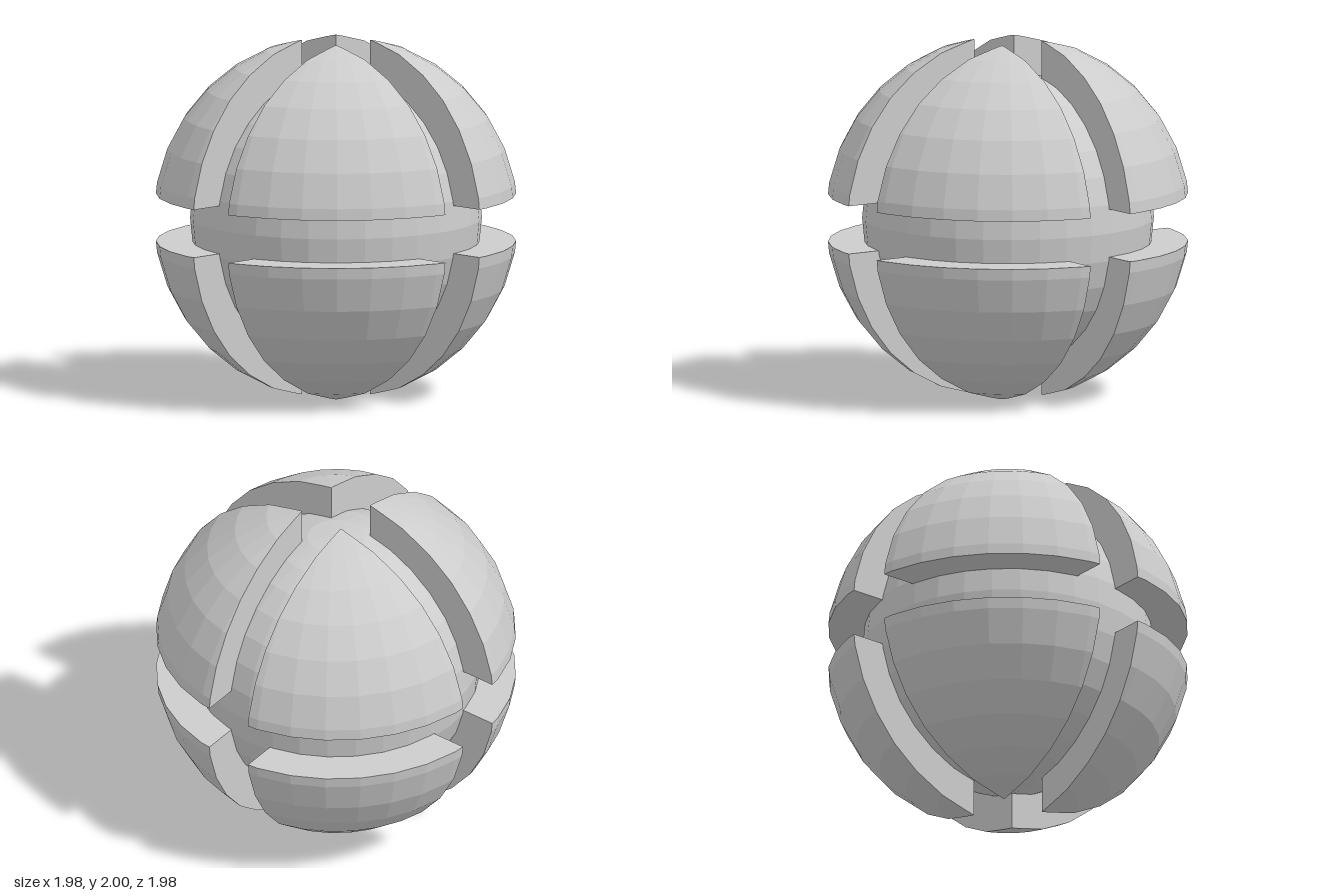
import * as THREE from 'three';

const R = 1.019;       // outer sphere radius
const CORE_R = 0.815;  // inner sphere radius
const GAP = 0.135;     // half width of each groove
const STEPS = 8;       // facets per quarter turn

const spherePoint = (i, j) => {
  const t = (i / STEPS) * Math.PI / 2, p = (j / STEPS) * Math.PI / 2;
  return [R * Math.sin(t) * Math.cos(p), R * Math.cos(t), R * Math.sin(t) * Math.sin(p)];
};

// Keep the part of a polygon whose coordinate on one axis is beyond the groove
function clip(poly, axis) {
  const out = [];
  poly.forEach((a, n) => {
    const b = poly[(n + 1) % poly.length];
    const da = a[axis] - GAP, db = b[axis] - GAP;
    if (da >= 0) out.push(a);
    if (da * db < 0) {
      const hit = a.map((v, k) => v + (b[k] - v) * da / (da - db));
      hit[axis] = GAP;
      out.push(hit);
    }
  });
  return out;
}

// One solid eighth of the faceted sphere: outer facets plus three flat groove walls
function octantGeometry(signs) {
  const positions = [];
  const corner = [GAP, GAP, GAP];
  const mirrored = signs[0] * signs[1] * signs[2] < 0;
  const addTriangle = (a, b, c) => {
    for (const v of mirrored ? [a, c, b] : [a, b, c]) positions.push(...v.map((x, k) => x * signs[k]));
  };
  for (let i = 0; i < STEPS; i++) {
    for (let j = 0; j < STEPS; j++) {
      let poly = [spherePoint(i, j), spherePoint(i, j + 1), spherePoint(i + 1, j + 1), spherePoint(i + 1, j)];
      for (let axis = 0; axis < 3; axis++) poly = clip(poly, axis);
      // outer facet
      for (let n = 1; n < poly.length - 1; n++) addTriangle(poly[0], poly[n], poly[n + 1]);
      // groove wall below each cut edge
      poly.forEach((a, n) => {
        const b = poly[(n + 1) % poly.length];
        for (let axis = 0; axis < 3; axis++) {
          if (a[axis] === GAP && b[axis] === GAP) addTriangle(b, a, corner);
        }
      });
    }
  }
  const geometry = new THREE.BufferGeometry();
  geometry.setAttribute('position', new THREE.Float32BufferAttribute(positions, 3));
  geometry.computeVertexNormals();
  return geometry;
}

export function createModel() {
  const model = new THREE.Group();
  model.name = 'groovedSphere';
  const grey = new THREE.MeshStandardMaterial({ color: 0xcccccc });
  grey.name = 'light grey';

  // Inner ball seen at the bottom of the grooves
  const core = new THREE.Mesh(new THREE.SphereGeometry(CORE_R, STEPS * 4, STEPS * 2).toNonIndexed(), grey);
  core.geometry.computeVertexNormals();
  core.name = 'core';
  core.position.y = 1;
  model.add(core);

  // Eight shell segments separated by the three grooves
  for (const y of [1, -1]) for (const x of [1, -1]) for (const z of [1, -1]) {
    const segment = new THREE.Mesh(octantGeometry([x, y, z]), grey);
    segment.name = `${y > 0 ? 'upper' : 'lower'}${z > 0 ? 'Front' : 'Back'}${x > 0 ? 'Left' : 'Right'}Segment`;
    segment.position.y = 1;
    model.add(segment);
  }
  return model;
}
